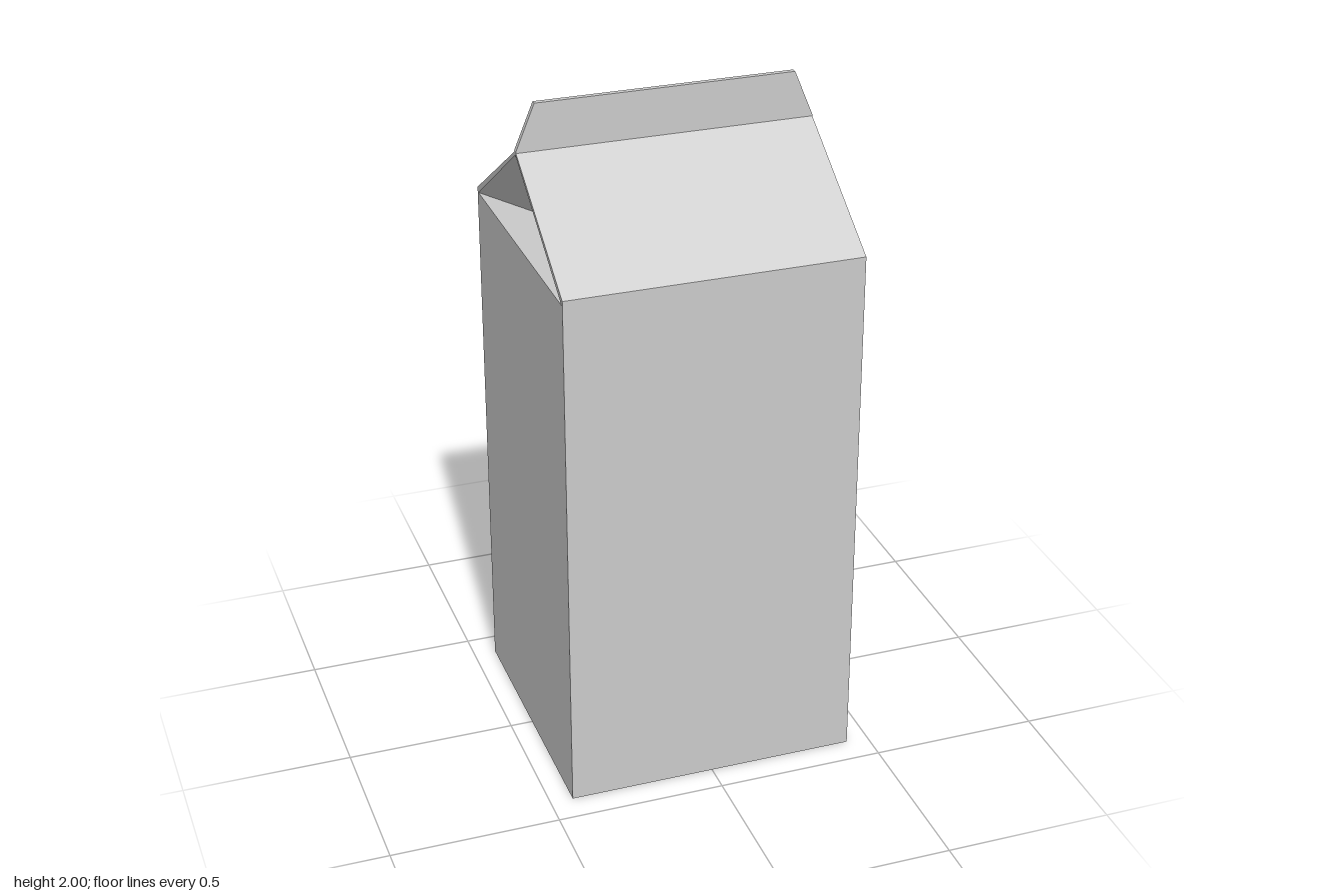
import * as THREE from 'three';

const W = 0.433, D = 0.415;          // half width and half depth
const EAVE = 1.6, RIDGE = 1.867;     // roof heights
const SIDE_TOP = 1.585, INNER = 0.407, INNER_RIDGE = 1.855; // gable opening

const material = new THREE.MeshStandardMaterial({ color: 0xcccccc, flatShading: true });
const foldMaterial = new THREE.MeshStandardMaterial({ color: 0xcccccc, flatShading: true, side: THREE.DoubleSide });

const points = (list) => list.map(([x, y]) => new THREE.Vector2(x, y));

function extrude(shape, depth) {
  return new THREE.ExtrudeGeometry(shape, { depth, bevelEnabled: false });
}

function addMesh(group, name, geometry, mat = material) {
  const mesh = new THREE.Mesh(geometry, mat);
  mesh.name = name;
  group.add(mesh);
  return mesh;
}

export function createModel() {
  const group = new THREE.Group();
  group.name = 'milkCarton';

  // Carton walls and sloping roof, with the gable ends cut open
  const profile = new THREE.Shape(points([[-D, 0], [D, 0], [D, EAVE], [0, RIDGE], [-D, EAVE]]));
  profile.holes.push(new THREE.Path(points([[-INNER, SIDE_TOP], [0, INNER_RIDGE], [INNER, SIDE_TOP]])));
  const body = extrude(profile, 2 * W);
  body.translate(0, 0, -W);
  body.rotateY(Math.PI / 2);
  addMesh(group, 'cartonBody', body);

  // Gable ends folded inward to a point
  for (const side of [1, -1]) {
    const front = [side * W, SIDE_TOP, INNER];
    const back = [side * W, SIDE_TOP, -INNER];
    const ridge = [side * W, INNER_RIDGE, 0];
    const inner = [side * (W - 0.15), 1.63, 0];
    const triangles = [[front, inner, ridge], [inner, back, ridge], [front, back, inner]];
    if (side < 0) triangles.forEach((t) => t.reverse());
    const fold = new THREE.BufferGeometry();
    fold.setAttribute('position', new THREE.Float32BufferAttribute(triangles.flat(2), 3));
    fold.computeVertexNormals();
    addMesh(group, side > 0 ? 'leftGableFold' : 'rightGableFold', fold, foldMaterial);
  }

  // Sealed fin along the ridge, with slanted ends
  const fin = extrude(new THREE.Shape(points([[-W, 1.86], [W, 1.86], [W, RIDGE], [0.378, 2], [-0.378, 2], [-W, RIDGE]])), 0.016);
  fin.translate(0, 0, -0.008);
  addMesh(group, 'topSeal', fin);

  // Eight-sided screw cap, square to the back roof slope
  const outline = [];
  for (let i = 0; i < 8; i++) {
    const a = (i * Math.PI) / 4, r = i % 2 ? 0.127 : 0.109;
    outline.push([r * Math.cos(a), r * Math.sin(a)]);
  }
  const cap = addMesh(group, 'screwCap', extrude(new THREE.Shape(points(outline)), 0.09));
  const slope = (RIDGE - EAVE) / D;
  cap.rotation.x = Math.atan2(-1, -slope);
  cap.position.set(0, RIDGE - 0.24 * slope, -0.24);

  return group;
}
